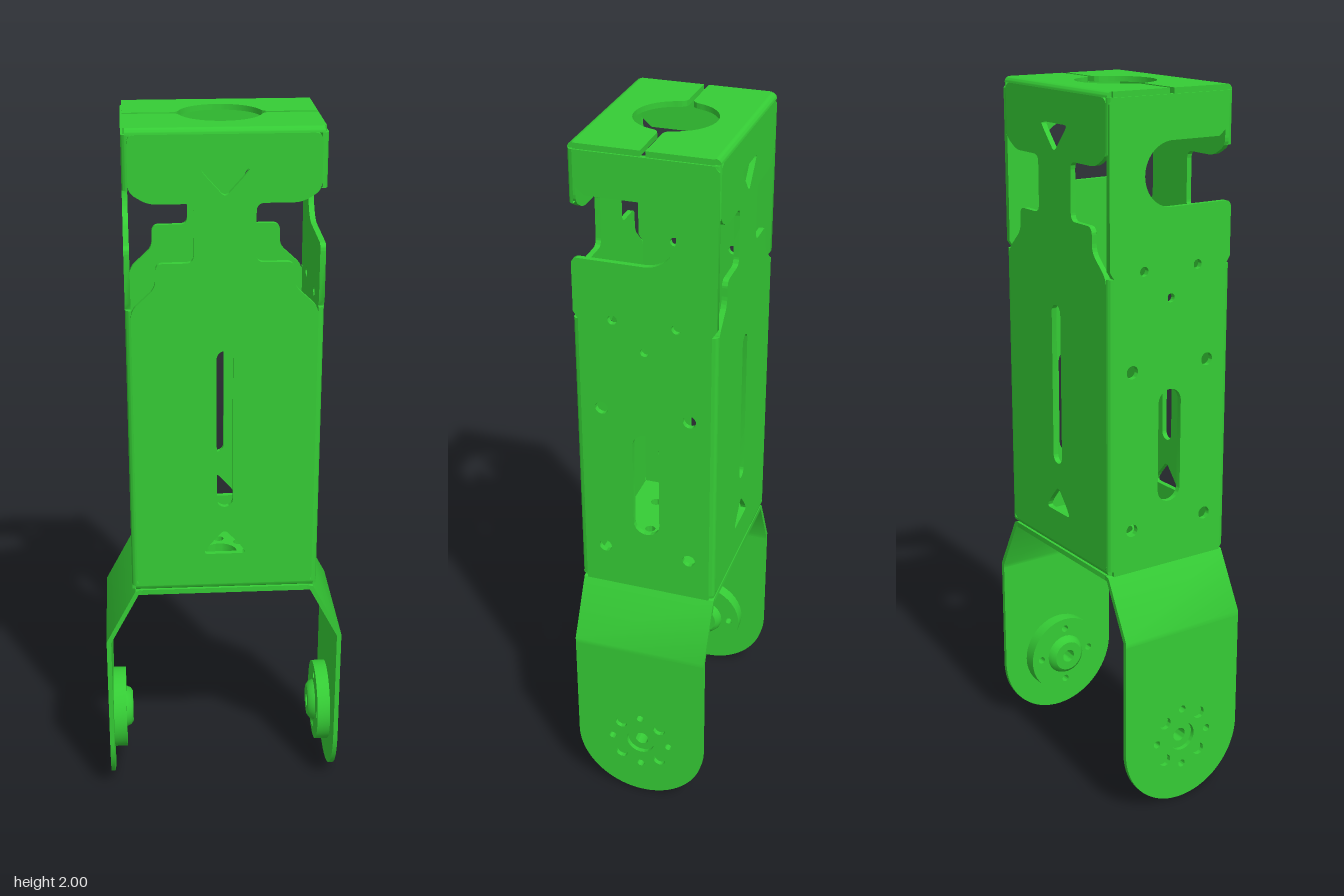
import * as THREE from 'three';
import { toCreasedNormals } from 'three/addons/utils/BufferGeometryUtils.js';

const T = 0.015; // sheet thickness and bend radius
const mat = new THREE.MeshStandardMaterial({ color: 0x35cc35, side: THREE.DoubleSide });

function mesh(name, geo, parent) {
  const m = new THREE.Mesh(toCreasedNormals(geo, 0.6), mat);
  m.name = name;
  parent.add(m);
  return m;
}

// Polygon with every corner rounded by up to r
function rounded(pts, r, Kind = THREE.Shape) {
  const s = new Kind();
  const v = pts.map(p => new THREE.Vector2(p[0], p[1]));
  v.forEach((p, i) => {
    const a = v[(i + v.length - 1) % v.length], b = v[(i + 1) % v.length];
    const cut = q => p.clone().lerp(q, Math.min(0.45, r / p.distanceTo(q)));
    const p0 = cut(a), p1 = cut(b);
    if (i) s.lineTo(p0.x, p0.y); else s.moveTo(p0.x, p0.y);
    s.quadraticCurveTo(p.x, p.y, p1.x, p1.y);
  });
  s.closePath();
  return s;
}

function circle(x, y, r) {
  const p = new THREE.Path();
  p.absarc(x, y, r, 0, Math.PI * 2, true);
  return p;
}

function slot(y0, y1, r) {
  const p = new THREE.Path();
  p.absarc(0, y1 - r, r, 0, Math.PI, false);
  p.absarc(0, y0 + r, r, Math.PI, Math.PI * 2, false);
  p.closePath();
  return p;
}

// n holes evenly spaced on a bolt circle
function ringHoles(shape, n, R, r, cy = 0, start = 0) {
  for (let i = 0; i < n; i++) {
    const a = start + i * Math.PI * 2 / n;
    shape.holes.push(circle(R * Math.cos(a), cy + R * Math.sin(a), r));
  }
}

const extrude = (shape, depth) => new THREE.ExtrudeGeometry(shape, { depth, bevelEnabled: false, curveSegments: 20 });
// Sheet facing sideways: shape x runs along z, thickness goes from x towards -x
const sideSheet = (shape, x, d = T) => extrude(shape, d).rotateY(-Math.PI / 2).translate(x, 0, 0);
// Horizontal sheet: shape y runs along z, thickness goes down from y
const flatSheet = (shape, y, d = T) => extrude(shape, d).rotateX(Math.PI / 2).translate(0, y, 0);
// Rounded sheet bend: quarter number k of a cylinder
const bend = (len, k) => new THREE.CylinderGeometry(T, T, len, 6, 1, false, k * Math.PI / 2, Math.PI / 2);

// Front or back wall with necked top
function wallShape() {
  const half = [[0.245, 0.72], [0.245, 1.53], [0.18, 1.59], [0.18, 1.655], [0.08, 1.655],
    [0.08, 1.81], [0.195, 1.81], [0.245, 1.84], [0.245, 1.985]];
  const s = rounded([...half, ...half.map(([x, y]) => [-x, y]).reverse()], 0.022);
  s.holes.push(slot(0.96, 1.415, 0.022),
    rounded([[-0.065, 1.9], [0.065, 1.9], [0.05, 1.88], [0, 1.825], [-0.05, 1.88]], 0.015, THREE.Path),
    rounded([[-0.06, 0.815], [0.06, 0.815], [0.045, 0.84], [0, 0.89], [-0.045, 0.84]], 0.015, THREE.Path));
  return s;
}

// Side wall with a window open towards the front
function sideShape() {
  const s = new THREE.Shape();
  s.moveTo(-0.18, 0.705);
  s.lineTo(0.18, 0.705);
  s.lineTo(0.18, 1.53);
  s.lineTo(0.193, 1.55);
  s.lineTo(0.193, 1.68);
  s.quadraticCurveTo(0.193, 1.7, 0.173, 1.7);
  s.lineTo(0, 1.7);
  s.absarc(0, 1.785, 0.085, -Math.PI / 2, -Math.PI, true);
  s.absarc(0, 1.785, 0.085, Math.PI, Math.PI / 2, true);
  s.lineTo(0.15, 1.87);
  s.lineTo(0.18, 1.895);
  s.lineTo(0.18, 1.985);
  s.lineTo(-0.18, 1.985);
  s.lineTo(-0.193, 1.97);
  s.lineTo(-0.193, 1.55);
  s.lineTo(-0.18, 1.53);
  s.closePath();
  s.holes.push(slot(0.89, 1.21, 0.037), circle(0, 1.46, 0.012));
  for (const m of [-1, 1]) {
    s.holes.push(circle(m * 0.122, 0.828, 0.018), circle(m * 0.122, 1.275, 0.018), circle(m * 0.086, 1.54, 0.013));
  }
  return s;
}

// Half of the split top, with its share of the round opening
function topShape() {
  const s = new THREE.Shape(), a = 0.28, R = 0.11;
  const ex = R * Math.cos(a), ez = R * Math.sin(a);
  s.moveTo(-0.255, 0.18);
  s.lineTo(-0.255, 0.007);
  s.lineTo(-0.13, 0.007);
  s.quadraticCurveTo(-0.112, 0.007, -ex, ez);
  s.absarc(0, 0, R, Math.PI - a, a, true);
  s.quadraticCurveTo(0.112, 0.007, 0.13, 0.007);
  s.lineTo(0.255, 0.007);
  s.lineTo(0.255, 0.18);
  s.closePath();
  return s;
}

function floorShape(w, d) {
  const s = rounded([[-w, -d], [w, -d], [w, d], [-w, d]], 0.005);
  s.holes.push(circle(0, 0, 0.049));
  ringHoles(s, 8, 0.081, 0.015);
  for (const x of [-0.14, 0.14]) for (const z of [-0.11, 0.11]) s.holes.push(circle(x, z, 0.016));
  return s;
}

function createLeg() {
  const leg = new THREE.Group(), cy = 0.195;
  // Sloping shoulder
  const slope = new THREE.Shape([[0.235, 0.69], [0.243, 0.69], [0.325, 0.535], [0.325, 0.52], [0.338, 0.52],
    [0.338, 0.538], [0.252, 0.7], [0.235, 0.705]].map(p => new THREE.Vector2(...p)));
  mesh('legShoulder', extrude(slope, 0.386).translate(0, 0, -0.193), leg);
  // Round-ended plate
  const plate = new THREE.Shape();
  plate.moveTo(0.193, 0.525);
  plate.lineTo(-0.193, 0.525);
  plate.lineTo(-0.193, cy);
  plate.absarc(0, cy, 0.193, Math.PI, Math.PI * 2, false);
  plate.closePath();
  plate.holes.push(circle(0, cy, 0.042));
  ringHoles(plate, 4, 0.087, 0.011, cy);
  ringHoles(plate, 4, 0.083, 0.018, cy, Math.PI / 4);
  mesh('legPlate', sideSheet(plate, 0.338, 0.013), leg);
  // Pivot disc and tapered hub on the inner face
  const disc = new THREE.Shape();
  disc.absarc(0, cy, 0.12, 0, Math.PI * 2, false);
  disc.holes.push(circle(0, cy, 0.02));
  ringHoles(disc, 4, 0.087, 0.011, cy);
  mesh('pivotDisc', sideSheet(disc, 0.325, 0.038), leg);
  const hub = [[0.02, 0], [0.062, 0], [0.056, 0.013], [0.046, 0.02], [0.02, 0.02], [0.02, 0]];
  mesh('pivotHub', new THREE.LatheGeometry(hub.map(p => new THREE.Vector2(...p)), 32)
    .rotateZ(Math.PI / 2).translate(0.287, cy, 0), leg);
  return leg;
}

export function createModel() {
  const g = new THREE.Group();
  g.name = 'bracket';

  // Upright walls
  mesh('frontWall', extrude(wallShape(), T).translate(0, 0, 0.18), g);
  mesh('backWall', extrude(wallShape(), T).translate(0, 0, -0.195), g);
  mesh('leftWall', sideSheet(sideShape(), 0.26), g);
  mesh('rightWall', sideSheet(sideShape(), -0.245), g);

  // Rounded vertical corners, below and above the windows
  [[1, 1], [1, -1], [-1, -1], [-1, 1]].forEach(([sx, sz], k) => {
    for (const [y0, y1] of [[0.72, 1.53], [1.845, 1.985]]) {
      mesh('cornerBend', bend(y1 - y0, k).translate(sx * 0.245, (y0 + y1) / 2, sz * 0.18), g);
    }
  });
  // Rounded top and bottom edges of the front and back walls
  [[1, 1], [1, -1], [-1, -1], [-1, 1]].forEach(([sy, sz], k) => {
    mesh('edgeBend', bend(0.5, k).rotateZ(Math.PI / 2).translate(0, sy > 0 ? 1.985 : 0.72, sz * 0.18), g);
  });

  // Split top
  mesh('topFront', flatSheet(topShape(), 2), g);
  mesh('topBack', flatSheet(topShape(), 2).rotateY(Math.PI), g);

  // Stacked floors of the box and of the fork below it
  mesh('boxFloor', flatSheet(floorShape(0.25, 0.18), 0.72), g);
  mesh('forkPlate', flatSheet(floorShape(0.24, 0.193), 0.705), g);

  // Fork legs
  for (const side of ['left', 'right']) {
    const leg = createLeg();
    leg.name = side + 'Leg';
    if (side === 'right') leg.rotation.y = Math.PI;
    g.add(leg);
  }
  return g;
}
